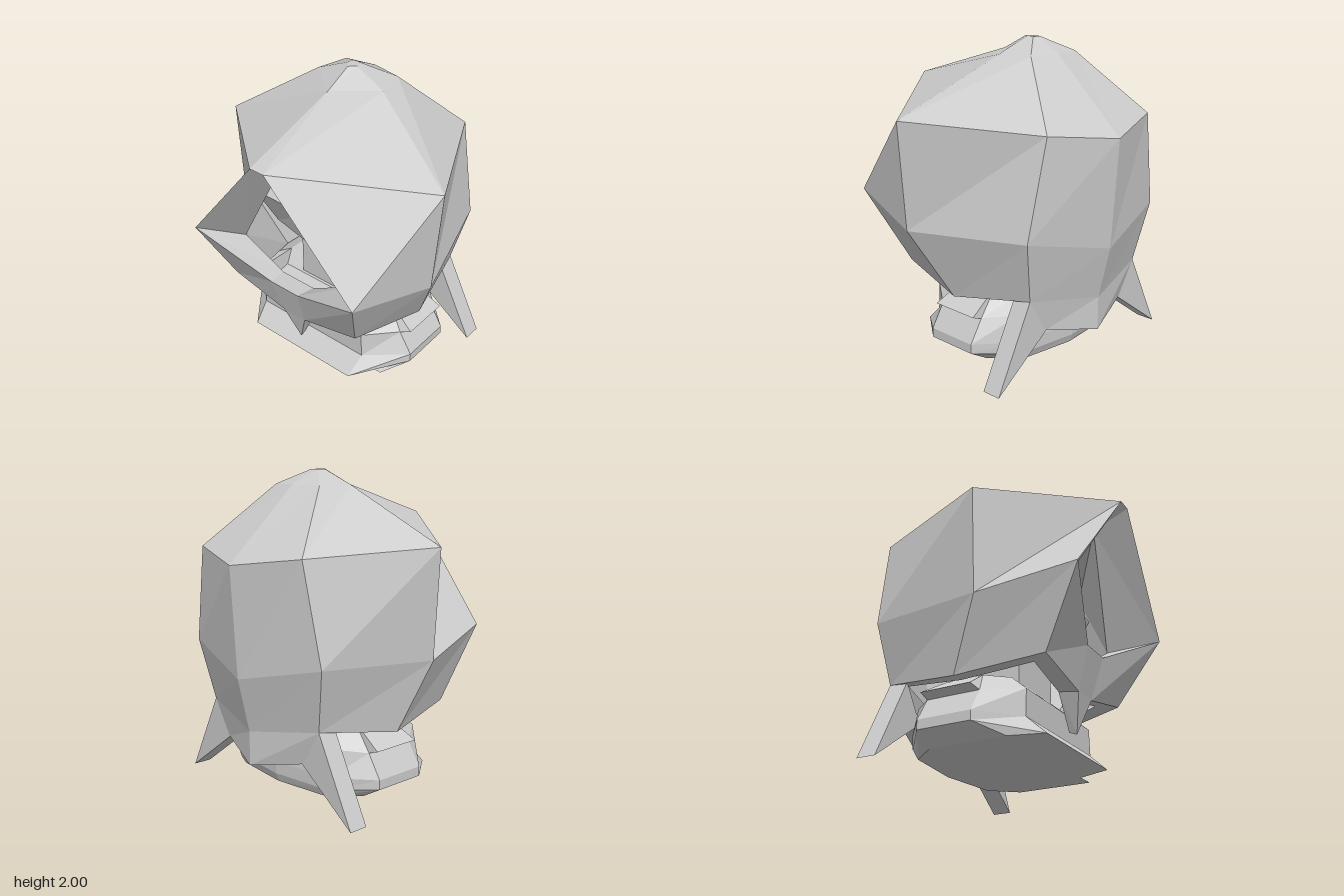
import * as THREE from 'three';

const CX = -0.05; // plane of symmetry
const grey = new THREE.MeshStandardMaterial({ color: 0xcccccc, flatShading: true, side: THREE.DoubleSide });

// point [half width, y, z, extra width on the left side] placed on side s
const pt = ([h, y, z, e = 0], s) => [CX + s * h + (s > 0 ? e : 0), y, z];

// collects flat faces
class Faces {
  constructor() { this.v = []; }
  tri(a, b, c) { this.v.push(...a, ...b, ...c); }
  quad(a, b, c, d) { this.tri(a, b, c); this.tri(a, c, d); }
  // the same quad on both sides; it folds along b-d on the left and a-c on the right
  pair(a, b, c, d, flip = false) {
    for (const s of [1, -1]) {
      const [p, q, r, t] = (s > 0 ? [b, c, d, a] : [a, b, c, d]).map(k => pt(k, s));
      if ((s < 0) !== flip) this.quad(p, t, r, q);
      else this.quad(p, q, r, t);
    }
  }
  // quad that bridges the two sides across the middle
  bridge(a, b, flip = false) {
    const q = [pt(a, -1), pt(b, -1), pt(b, 1), pt(a, 1)];
    if (flip) q.reverse();
    this.quad(...q);
  }
  // rows run from top to bottom, columns from front to back
  grid(rows, flip = false) {
    for (let i = 0; i + 1 < rows.length; i++)
      for (let j = 0; j + 1 < rows[i].length; j++)
        this.pair(rows[i][j], rows[i + 1][j], rows[i + 1][j + 1], rows[i][j + 1], flip);
  }
  mesh(name) {
    const g = new THREE.BufferGeometry();
    g.setAttribute('position', new THREE.Float32BufferAttribute(this.v, 3));
    g.computeVertexNormals();
    const m = new THREE.Mesh(g, grey);
    m.name = name;
    return m;
  }
}

function makeHelmet() {
  // outer shell: front, side, back, back centre
  const outer = [
    [[0, 2, -0.05], [0.04, 2, -0.09], [0.03, 2, -0.14], [0, 2, -0.14]],
    [[0, 1.91, 0.13], [0.25, 1.91, -0.07], [0.2, 1.91, -0.28], [0, 1.91, -0.32]],
    [[0, 1.7, 0.8, 0.1], [0.77, 1.56, 0.16, 0.1], [0.47, 1.53, -0.655], [0, 1.465, -0.8]],
    [[0.59, 1, 0.75, 0.1], [0.73, 0.875, 0.16, 0.09], [0.59, 0.915, -0.62], [0, 0.78, -0.755]],
    [[0.51, 0.52, 0.5], [0.62, 0.445, -0.03], [0.5, 0.525, -0.56], [0, 0.44, -0.675]],
  ];
  const inner = outer.map(r => r.map(([h, y, z, e = 0]) =>
    [h * 0.87, 0.9 + (y - 0.9) * (y > 0.9 ? 0.88 : 1), z * 0.87, e * 0.87]));
  inner[2][0] = [0, 1.54, 0.6];
  inner[3][0] = [0.42, 0.87, 0.48];
  inner[4][0] = [0.42, 0.52, 0.38];
  // jaw: top corner, lower corner, tip of the chin
  const jaw = [[0.11, 0.7, 0.58], [0.09, 0.43, 0.5], [0, 0.2, 0.44]];
  const jawIn = [[0.13, 0.69, 0.45], [0.09, 0.45, 0.37], [0, 0.22, 0.39]];

  const f = new Faces();
  [[outer, jaw, false], [inner, jawIn, true]].forEach(([g, j, flip]) => {
    f.grid(g, flip);
    f.bridge(g[1][0], g[2][0], flip);
    f.pair(j[0], j[1], g[4][0], g[3][0], flip);
    f.bridge(j[0], j[1], flip);
    f.bridge(j[1], j[2], flip);
  });
  f.pair(outer[0][0], outer[0][1], outer[0][2], outer[0][3]);
  // rim of the face opening
  f.pair(outer[2][0], inner[2][0], inner[3][0], outer[3][0], true);
  f.pair(outer[3][0], inner[3][0], jawIn[0], jaw[0], true);
  f.bridge(jawIn[0], jaw[0]);
  f.bridge(outer[2][0], inner[2][0]);
  // rim along the bottom
  for (let j = 0; j < 3; j++) f.pair(outer[4][j], inner[4][j], inner[4][j + 1], outer[4][j + 1]);
  f.pair(jaw[1], jawIn[1], inner[4][0], outer[4][0]);
  f.pair(jaw[2], jawIn[2], jawIn[1], jaw[1]);
  return f.mesh('helmetShell');
}

// panel hanging below the back of the helmet
function makeNeckGuard() {
  const out = [[[0.5, 0.525, -0.56], [0, 0.44, -0.675]], [[0.36, 0.3, -0.56], [0, 0.225, -0.675]]];
  const inn = [[[0.45, 0.53, -0.47], [0, 0.5, -0.58]], [[0.34, 0.33, -0.47], [0, 0.26, -0.6]]];
  const f = new Faces();
  f.grid(out);
  f.grid(inn, true);
  f.pair(out[1][0], inn[1][0], inn[1][1], out[1][1]);
  return f.mesh('neckGuard');
}

function makeFin(s) {
  const corners = [[0.5, 0.525], [0.35, 0.3], [0.765, 0]];
  const shape = new THREE.Shape(corners.map(([h, y]) => new THREE.Vector2(CX + s * h, y)));
  const geo = new THREE.ExtrudeGeometry(shape, { depth: 0.125, bevelEnabled: false });
  geo.translate(0, 0, -0.56);
  const fin = new THREE.Mesh(geo, grey);
  fin.name = s > 0 ? 'leftFin' : 'rightFin';
  return fin;
}

// collar and base: front corner, two side corners, back corner, back centre
function makeCollar() {
  const centre = (y) => Array(5).fill([0, y, -0.05]);
  const rows = [
    centre(0.49),
    [[0.34, 0.49, 0.19], [0.43, 0.5, 0.05], [0.43, 0.5, -0.2], [0.3, 0.49, -0.35], [0, 0.49, -0.38]],
    [[0.42, 0.37, 0.33], [0.58, 0.345, 0.12], [0.58, 0.345, -0.23], [0.42, 0.37, -0.4], [0, 0.37, -0.44]],
    [[0.43, 0.2, 0.33], [0.67, 0.2, 0.12], [0.67, 0.2, -0.23], [0.44, 0.2, -0.42], [0, 0.2, -0.47]],
    [[0.41, 0.09, 0.45], [0.67, 0.14, 0.12], [0.67, 0.14, -0.23], [0.43, 0.12, -0.42], [0, 0.12, -0.47]],
    [[0.41, 0.065, 0.27], [0.54, 0.065, 0.27], [0.54, 0.065, -0.23], [0.4, 0.065, -0.4], [0, 0.065, -0.45]],
    centre(0.065),
  ];
  const f = new Faces();
  f.grid(rows);
  for (let i = 0; i + 1 < rows.length; i++) f.bridge(rows[i][0], rows[i + 1][0]);
  // flared flap on each side
  const [, top, low] = rows;
  const tips = [[0.65, 0.37, 0.1], [0.65, 0.37, -0.23]];
  f.grid([[top[1], top[2]], tips, [low[1], low[2]]]);
  f.pair(top[1], low[1], tips[0], top[1]);
  f.pair(top[2], tips[1], low[2], top[2]);
  return f.mesh('collar');
}

// faceted head with a sharp brow: front centre, front corner, side, back centre
function makeHead() {
  const f = new Faces();
  f.grid([
    Array(4).fill([0, 1.7, -0.12]),
    [[0, 1.14, 0.36], [0.45, 1.14, 0.35], [0.55, 1.14, -0.2], [0, 1.14, -0.55]],
    [[0, 0.79, 0.24], [0.4, 0.845, 0.2], [0.4, 0.845, -0.2], [0, 0.82, -0.4]],
    Array(4).fill([0, 0.82, 0]),
  ]);
  return f.mesh('head');
}

export function createModel() {
  const model = new THREE.Group();
  model.name = 'helmetedBust';
  const neck = new THREE.Mesh(new THREE.BoxGeometry(0.42, 0.42, 0.42), grey);
  neck.position.set(CX, 0.64, -0.04);
  neck.name = 'neck';
  model.add(makeHelmet(), makeNeckGuard(), makeFin(1), makeFin(-1), makeCollar(), makeHead(), neck);
  return model;
}
